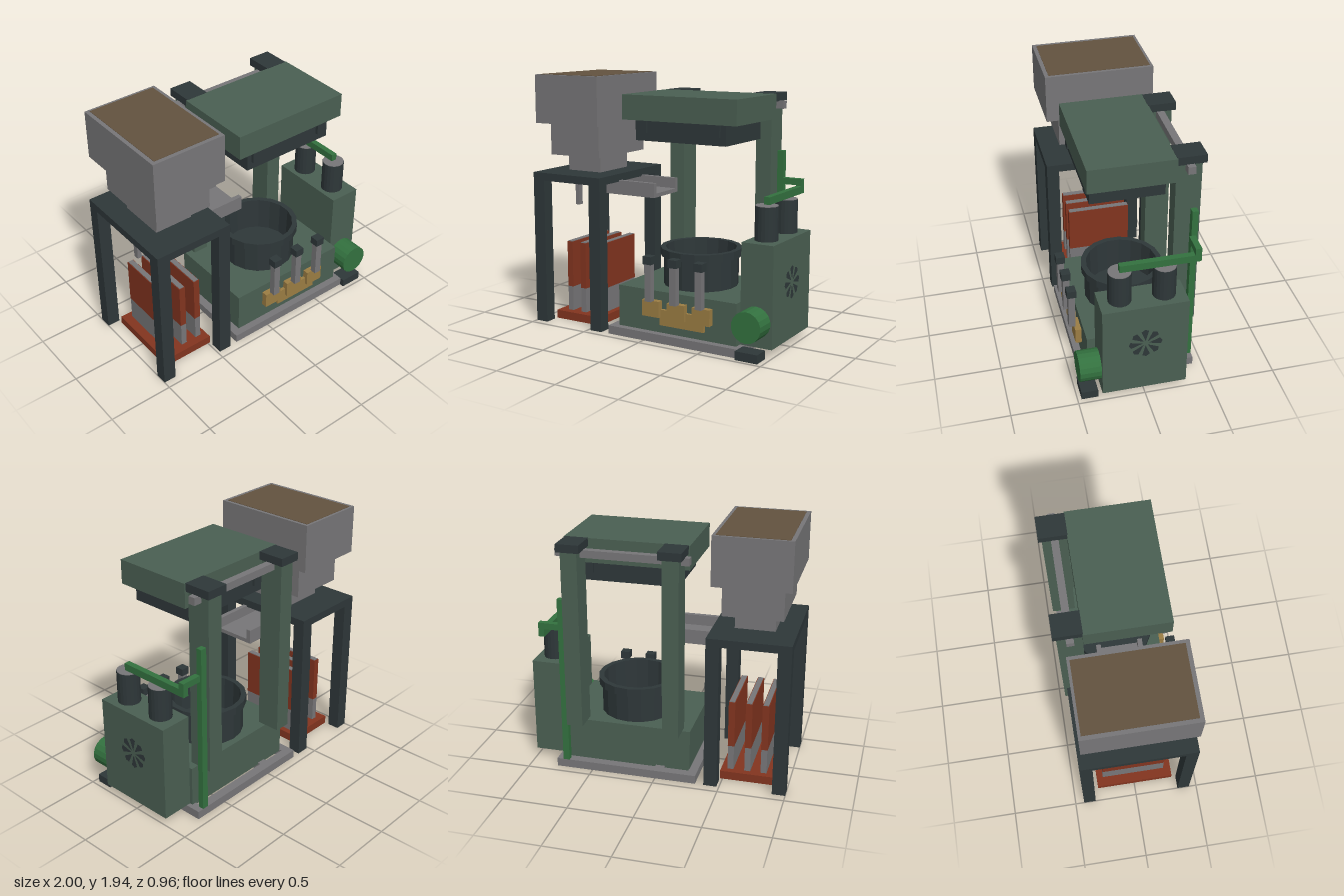
import * as THREE from 'three';

export function createModel() {
  const root = new THREE.Group();
  const mat = (name, color, flatShading = true) =>
    new THREE.MeshStandardMaterial({ name, color, flatShading });
  const green = mat('machineGreen', 0x4a5f52);
  const grey = mat('steelGrey', 0x777678);
  const dark = mat('darkIron', 0x2e3739);
  const red = mat('rustRed', 0x82341f);
  const brass = mat('brass', 0x9b7d43);
  const bright = mat('brightGreen', 0x33713f);
  const brown = mat('brownFill', 0x62523f);

  const add = (name, geo, m, x = 0, y = 0, z = 0) => {
    const mesh = new THREE.Mesh(geo, m);
    mesh.name = name;
    mesh.position.set(x, y, z);
    root.add(mesh);
    return mesh;
  };
  // Box given by its limits on each axis
  const box = (name, m, x0, x1, y0, y1, z0, z1) =>
    add(name, new THREE.BoxGeometry(x1 - x0, y1 - y0, z1 - z0), m,
      (x0 + x1) / 2, (y0 + y1) / 2, (z0 + z1) / 2);

  // Hopper with stepped funnel
  box('hopperFunnelLower', grey, -0.84, -0.54, 1.19, 1.32, -0.175, 0.195);
  box('hopperFunnelUpper', grey, -0.915, -0.465, 1.32, 1.57, -0.3, 0.32);
  box('hopperBin', grey, -0.98, -0.405, 1.57, 1.94, -0.405, 0.42);
  box('hopperFill', brown, -0.95, -0.43, 1.938, 1.943, -0.385, 0.39);

  // Hopper table
  box('tableTop', dark, -1, -0.38, 1.13, 1.19, -0.43, 0.44);
  for (const x of [-1, -0.48])
    for (const z of [-0.43, 0.345])
      box('tableLeg', dark, x, x + 0.1, 0, 1.13, z, z + 0.095);
  box('tableOutlet', dark, -0.87, -0.52, 1.095, 1.13, -0.2, 0.22);
  box('tableBracket', grey, -0.905, -0.87, 0.88, 1.13, -0.015, 0.03);

  // Open chute from the hopper to the press
  box('chuteFloor', grey, -0.565, -0.065, 1.03, 1.06, -0.17, 0.175);
  for (const z of [-0.17, 0.14])
    box('chuteWall', grey, -0.565, -0.065, 1.06, 1.14, z, z + 0.035);

  // Rack of dipped plates
  box('rackBase', red, -0.9, -0.48, 0, 0.065, -0.3, 0.31);
  for (const x of [-0.805, -0.68, -0.55]) {
    box('plateLower', grey, x - 0.023, x + 0.023, 0.065, 0.26, -0.25, 0.25);
    box('plateUpper', red, x - 0.025, x + 0.025, 0.26, 0.625, -0.25, 0.25);
    box('plateTopEdge', grey, x - 0.02, x + 0.02, 0.625, 0.63, -0.245, 0.245);
  }

  // Ground frame
  for (const z of [-0.43, 0.365])
    box('frameRail', grey, -0.315, 0.785, 0, 0.065, z, z + 0.07);
  for (const x of [-0.315, -0.055, 0.715])
    box('frameCrossRail', grey, x, x + 0.07, 0, 0.065, -0.36, 0.365);
  box('frameFoot', dark, 0.785, 0.96, 0, 0.065, 0.345, 0.47);

  // Machine body
  box('body', green, -0.25, 0.75, 0.05, 0.38, -0.335, 0.38);

  // Columns, caps and rear tie bar
  for (const x of [-0.1275, 0.6225]) {
    box('column', green, x - 0.0625, x + 0.0625, 0.38, 1.76, -0.455, -0.27);
    box('columnCap', dark, x - 0.0875, x + 0.0875, 1.755, 1.816, -0.48, -0.268);
  }
  box('tieBar', grey, -0.25, 0.75, 1.7, 1.757, -0.39, -0.335);

  // Press head with die and clips
  box('pressHead', green, -0.225, 0.72, 1.63, 1.814, -0.272, 0.355);
  box('pressDie', dark, -0.13, 0.62, 1.48, 1.63, -0.22, 0.32);
  for (const x of [-0.06, 0.545])
    for (const z of [-0.24, 0.32])
      box('dieClip', dark, x - 0.033, x + 0.033, 1.54, 1.63, z, z + 0.022);

  // Hollow round pot with a thick rim
  const pot = [[0, 0.4], [0, 0.38], [0.285, 0.38], [0.285, 0.605], [0.31, 0.605],
    [0.31, 0.665], [0.27, 0.665], [0.26, 0.4], [0, 0.4]].slice(1)
    .map(([r, y]) => new THREE.Vector2(r, y));
  add('pot', new THREE.LatheGeometry(pot, 18), dark, 0.247, 0, 0);

  // Control levers on brass valve blocks
  box('valveManifold', brass, 0.125, 0.495, 0.13, 0.25, 0.375, 0.405);
  for (const x of [0.058, 0.272, 0.483]) {
    box('valveBlock', brass, x - 0.073, x + 0.073, 0.19, 0.313, 0.375, 0.427);
    box('lever', grey, x - 0.027, x + 0.027, 0.313, 0.6, 0.415, 0.465);
    box('leverKnob', dark, x - 0.036, x + 0.036, 0.595, 0.655, 0.405, 0.475);
  }

  // Power cabinet with fan vent
  box('cabinet', green, 0.75, 1, 0.065, 0.815, -0.31, 0.32);
  for (let i = 0; i < 8; i++) {
    const a = i * Math.PI / 4;
    const p = (r, da) => new THREE.Vector2(r * Math.cos(a + da), r * Math.sin(a + da));
    const blade = new THREE.Shape([p(0.02, 0), p(0.115, -0.2), p(0.125, 0.05), p(0.11, 0.3)]);
    add('fanBlade', new THREE.ShapeGeometry(blade), dark, 1.002, 0.49, 0.005)
      .rotation.y = Math.PI / 2;
  }

  // Motor
  add('motor', new THREE.CylinderGeometry(0.115, 0.115, 0.16, 18), bright, 0.872, 0.25, 0.4)
    .rotation.x = Math.PI / 2;

  // Pressure tanks
  for (const z of [-0.157, 0.167]) {
    add('tank', new THREE.CylinderGeometry(0.085, 0.085, 0.25, 20), dark, 0.87, 0.938, z);
    add('tankLid', new THREE.CylinderGeometry(0.083, 0.083, 0.006, 20), grey, 0.87, 1.064, z);
  }

  // Square hydraulic pipe
  box('pipeRiser', bright, 0.685, 0.735, 0.065, 1.38, -0.43, -0.385);
  box('pipeBranch', bright, 0.735, 0.895, 1.13, 1.178, -0.415, -0.37);
  box('pipeDrop', bright, 0.85, 0.895, 1.07, 1.13, -0.415, -0.37);
  box('pipeFeed', bright, 0.85, 0.895, 1.07, 1.125, -0.37, 0.172);

  return root;
}
